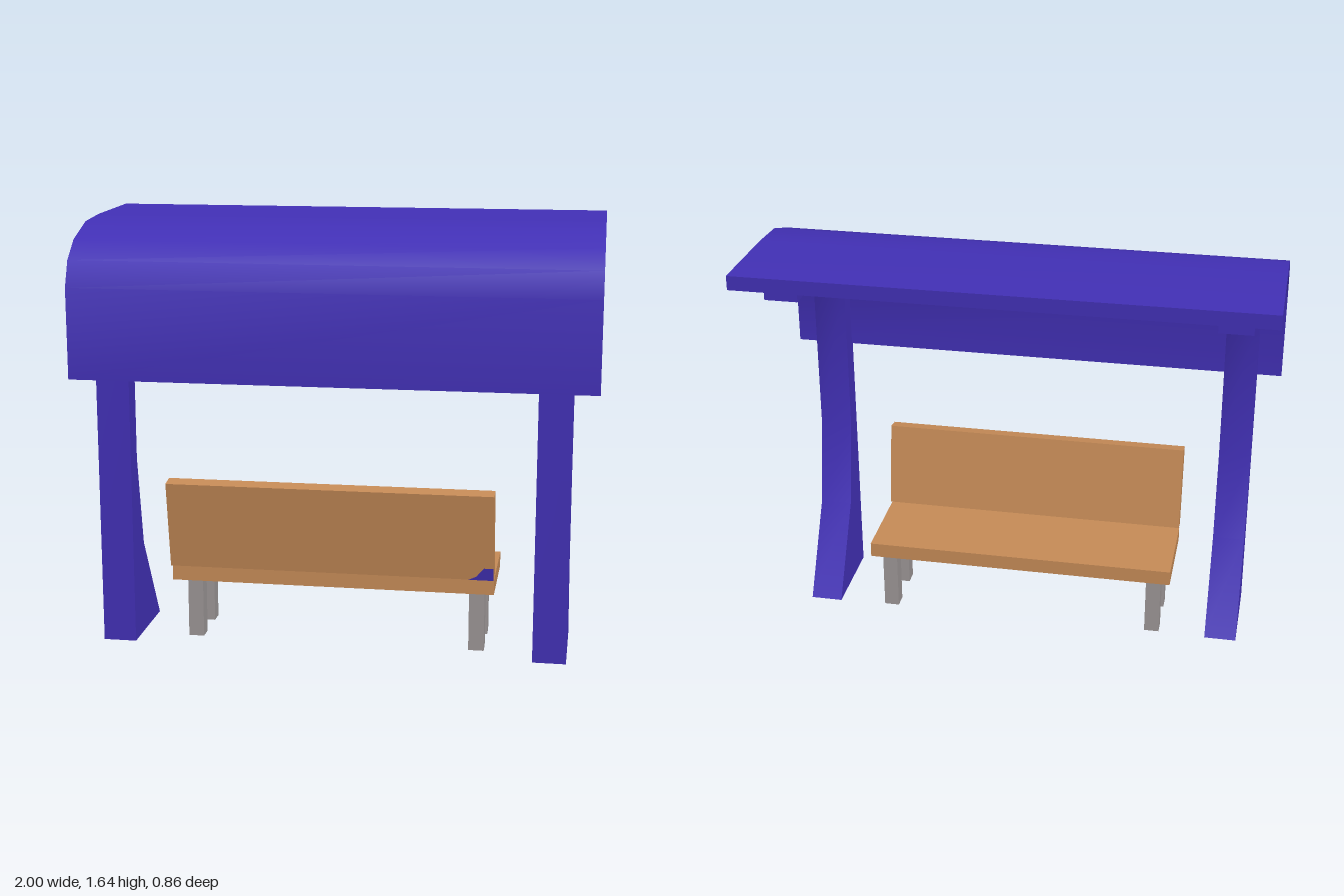
import * as THREE from 'three';
import { toCreasedNormals } from 'three/addons/utils/BufferGeometryUtils.js';

const paint = new THREE.MeshStandardMaterial({ color: 0x4230b6 });
paint.name = 'blue paint';
const wood = new THREE.MeshStandardMaterial({ color: 0xc68b57 });
wood.name = 'wood';
const metal = new THREE.MeshStandardMaterial({ color: 0x9c9696 });
metal.name = 'grey metal';

// Extrudes a side profile of [z, y] points across x, centred on x = 0
function sideExtrude(points, width) {
  const shape = new THREE.Shape(points.map(([z, y]) => new THREE.Vector2(z, y)));
  const geometry = new THREE.ExtrudeGeometry(shape, { depth: width, bevelEnabled: false });
  geometry.translate(0, 0, -width / 2);
  geometry.rotateY(-Math.PI / 2);
  return toCreasedNormals(geometry, 0.7);
}

function addMesh(parent, name, geometry, material, x = 0, y = 0, z = 0) {
  const mesh = new THREE.Mesh(geometry, material);
  mesh.name = name;
  mesh.position.set(x, y, z);
  parent.add(mesh);
  return mesh;
}

export function createModel() {
  const model = new THREE.Group();
  model.name = 'benchShelter';

  // Curved canopy: outer skin, then back along the inner skin
  addMesh(model, 'canopy', sideExtrude([
    [0.41, 1.05], [0.41, 1.4], [0.37, 1.5], [0.285, 1.57], [0.13, 1.622], [-0.04, 1.634], [-0.43, 1.64],
    [-0.43, 1.585], [-0.04, 1.58], [0.125, 1.57], [0.275, 1.515], [0.33, 1.455], [0.357, 1.39], [0.357, 1.05],
  ], 2), paint);

  // Posts with a flared foot and an arm bent under the canopy
  const postGeometry = sideExtrude([
    [0.01, 0], [0.368, 0], [0.368, 1.05], [0.362, 1.39], [0.335, 1.455], [0.278, 1.518], [0.13, 1.571],
    [-0.04, 1.581], [-0.31, 1.583], [-0.31, 1.505], [-0.04, 1.5], [0.135, 1.488], [0.247, 1.432],
    [0.285, 1.36], [0.285, 0.72], [0.22, 0.36],
  ], 0.128);
  for (const side of [-1, 1]) {
    addMesh(model, side > 0 ? 'leftPost' : 'rightPost', postGeometry, paint, side * 0.84);
  }

  // Bench
  const bench = new THREE.Group();
  bench.name = 'bench';
  model.add(bench);
  addMesh(bench, 'seat', new THREE.BoxGeometry(1.25, 0.06, 0.37), wood, 0, 0.285, 0.165);

  // Leaning backrest, hinged at its lower outer edge
  const backrest = new THREE.Group();
  backrest.name = 'backrest';
  backrest.position.set(0, 0.32, 0.375);
  backrest.rotation.x = 0.16;
  bench.add(backrest);
  addMesh(backrest, 'backBoard', new THREE.BoxGeometry(1.25, 0.345, 0.058), wood, 0, 0.1725, -0.029);

  // Small painted corner on the outer face of the backrest
  const patch = new THREE.Shape([
    [0.53, 0], [0.624, 0], [0.624, 0.05], [0.588, 0.05], [0.56, 0.015],
  ].map(([x, y]) => new THREE.Vector2(x, y)));
  addMesh(backrest, 'paintedCorner', new THREE.ShapeGeometry(patch), paint, 0, 0, 0.002);

  // Legs
  const legGeometry = new THREE.BoxGeometry(0.06, 0.256, 0.06);
  for (const x of [-0.555, 0.555]) {
    for (const z of [0.05, 0.24]) addMesh(bench, 'benchLeg', legGeometry, metal, x, 0.128, z);
  }
  return model;
}
